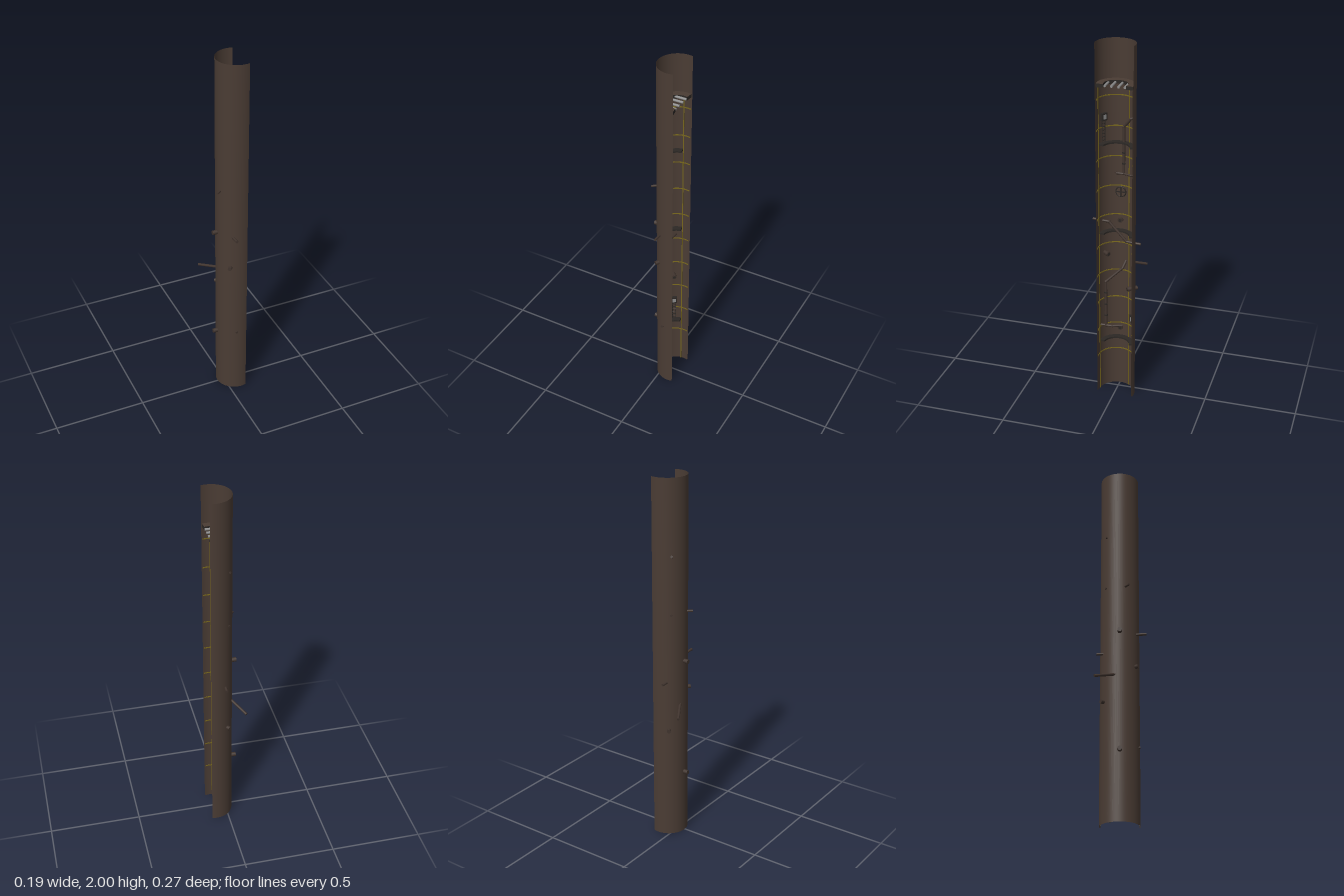
import * as THREE from 'three';
import { toCreasedNormals } from 'three/addons/utils/BufferGeometryUtils.js';

const CX = 0.0655, CZ = -0.006;     // axis of the shaft
const WALL = 0.1035, LINER = 0.0985; // radii of the thin wall and its lining
const END = THREE.MathUtils.degToRad(106);

const mat = (name, color, side = THREE.FrontSide) => {
  const m = new THREE.MeshStandardMaterial({ color, side });
  m.name = name;
  return m;
};

// Point at radius r and angle a around the shaft; a = 0 is the middle of the wall
const polar = (r, a, y) => new THREE.Vector3(CX - r * Math.cos(a), y, CZ + r * Math.sin(a));
const V = (x, y, z) => new THREE.Vector3(x, y, z);

export function createModel() {
  const group = new THREE.Group();
  const brick = mat('brownWall', 0x4a3c34, THREE.DoubleSide);
  const pipeMat = mat('pipeBrown', 0x40342e);
  const iron = mat('darkIron', 0x2c2825);
  const steel = mat('greySteel', 0x8c8c8c);
  const mustard = mat('mustardSeam', 0x76661c);

  const add = (name, geo, material, parent = group) => {
    const m = new THREE.Mesh(geo, material);
    m.name = name;
    parent.add(m);
    return m;
  };

  // Upright curved band between two radii and two angles; k lengthens the inner arc
  const band = (name, rIn, rOut, y, h, a0, a1, material, k = 1) => {
    const n = Math.max(2, Math.ceil((a1 - a0) * 14));
    const pts = [];
    for (let i = 0; i <= n; i++) pts.push(polar(rOut, a0 + (a1 - a0) * i / n, 0));
    for (let i = n; i >= 0; i--) pts.push(polar(rIn, k * (a0 + (a1 - a0) * i / n), 0));
    const shape = new THREE.Shape(pts.map(p => new THREE.Vector2(p.x, -p.z)));
    const geo = new THREE.ExtrudeGeometry(shape, { depth: h, bevelEnabled: false });
    geo.rotateX(-Math.PI / 2).translate(0, y, 0);
    return add(name, toCreasedNormals(geo, 0.6), material);
  };

  // Round bar between two points
  const rod = (name, a, b, r, material, parent) => {
    const d = b.clone().sub(a);
    const m = add(name, new THREE.CylinderGeometry(r, r, d.length(), 14), material, parent);
    m.position.copy(a).add(b).multiplyScalar(0.5);
    m.quaternion.setFromUnitVectors(V(0, 1, 0), d.normalize());
    return m;
  };

  // Pipe run with rounded elbows
  const pipe = (name, pts, r) => {
    const g = new THREE.Group();
    g.name = name;
    group.add(g);
    pts.forEach((p, i) => {
      if (i) rod('pipeRun', pts[i - 1], p, r, pipeMat, g);
      if (i && i < pts.length - 1) {
        add('elbow', new THREE.SphereGeometry(r * 1.15, 12, 8), pipeMat, g).position.copy(p);
      }
    });
  };

  // Thin shaft wall, open towards +x, lined below the grate
  for (const [name, r, h] of [['shaftWall', WALL, 2], ['wallLining', LINER, 1.78]]) {
    add(name, new THREE.CylinderGeometry(r, r, h, 56, 1, true,
      Math.PI * 1.5 - END, END * 2), brick).position.set(CX, h / 2, CZ);
  }

  // Seams round the inside and the upright seams
  const seamIn = LINER - 0.003, seamOut = LINER - 0.0005, seamEnd = END - 0.03;
  for (let i = 0; i < 10; i++) {
    band('ringSeam', seamIn, seamOut, 0.225 + i * 0.1645, 0.0055, -seamEnd, seamEnd, mustard);
  }
  for (const a of [-1.42, -0.51, 1.42]) {
    band('uprightSeam', seamIn, seamOut, 0, 1.78, a - 0.025, a + 0.025, mustard);
  }

  // Narrow ledges and the wide platform ring that carries the grate
  for (const y of [0.304, 0.956, 1.454]) {
    band('ledge', 0.07, LINER - 0.0005, y, 0.009, -1.4, 1.4, iron);
  }
  const ringEnd = END - 0.017;
  band('platformRing', 0.063, 0.098, 1.776, 0.019, -ringEnd, ringEnd, [brick, iron], 1.042);
  for (const z of [-0.059, -0.026, 0.011, 0.045]) {
    rod('grateBar', V(0.01 + Math.abs(z + 0.007) * 0.25, 1.785, z), V(0.086, 1.785, z), 0.0065, steel);
  }

  // Outlet stubs through the wall, with a flange and a dark mouth inside
  const stub = (a, y, r, inner, reach) => {
    rod('outletStub', polar(inner, a, y), polar(reach, a, y), r, pipeMat);
    rod('outletFlange', polar(inner + 0.002, a, y), polar(inner + 0.012, a, y), r * 1.25, pipeMat);
    rod('outletMouth', polar(inner - 0.0008, a, y), polar(inner + 0.001, a, y), r * 0.75, iron);
  };
  stub(0, 1.02, 0.012, 0.078, 0.1285);
  stub(0, 0.367, 0.012, 0.078, 0.1285);
  stub(0.93, 0.833, 0.011, 0.063, 0.122);
  stub(-0.93, 0.637, 0.011, 0.063, 0.122);

  // Round drain cover with a cross
  const drain = new THREE.Group();
  drain.name = 'drainCover';
  drain.position.copy(polar(LINER - 0.006, 0, 1.18));
  drain.rotation.y = Math.PI / 2;
  group.add(drain);
  add('drainRim', new THREE.TorusGeometry(0.027, 0.0035, 8, 28), iron, drain);
  add('drainPlate', new THREE.CylinderGeometry(0.026, 0.026, 0.004, 28), brick, drain).rotation.x = Math.PI / 2;
  for (const s of [[0.052, 0.006, 0.01], [0.006, 0.052, 0.01]]) {
    add('drainBar', new THREE.BoxGeometry(...s), iron, drain);
  }

  // Pipe crossing the shaft from one side to the other
  pipe('crossingPipe', [V(0.015, 1.027, 0.135), V(0.015, 1.02, 0.047),
    V(0.015, 0.915, -0.05), V(0.015, 0.91, -0.128)], 0.007);

  // Lower pipe, leaving through the back
  pipe('lowerPipe', [V(0.035, 0.4, 0.1), V(0.033, 0.4, 0.06), V(0.033, 0.67, 0.06),
    V(0.005, 0.75, -0.025), V(-0.03, 0.777, -0.034), V(-0.09, 0.745, -0.135)], 0.0072);
  pipe('lowerBranch', [V(0.034, 0.4, 0.06), V(0.034, 0.4, 0.025), V(0.012, 0.4, -0.028)], 0.0068);
  for (const y of [0.46, 0.53, 0.6]) {
    rod('pipeClamp', V(0.033, y, 0.06), V(0.033, y + 0.008, 0.06), 0.0095, iron);
  }

  // Upper pipe with a level run through the wall
  pipe('upperPipe', [polar(0.107, -0.77, 1.6), V(-0.004, 1.595, -0.066), V(-0.018, 1.545, -0.025),
    V(-0.018, 1.29, -0.025)], 0.0068);
  pipe('levelPipe', [polar(0.107, -0.8, 1.287), V(-0.002, 1.287, -0.068), V(-0.018, 1.287, -0.025),
    V(-0.016, 1.287, 0.012), V(-0.056, 1.287, 0.044)], 0.0062);
  for (const y of [1.34, 1.4]) {
    rod('pipeClamp', V(-0.018, y, -0.025), V(-0.018, y + 0.008, -0.025), 0.009, iron);
  }

  // Wall boxes with a rung strip down to the ledge below
  for (const [a, y, bottom] of [[1.0, 1.6, 1.463], [-0.98, 0.45, 0.313]]) {
    const box = add('wallBox', new THREE.BoxGeometry(0.014, 0.04, 0.032), iron);
    box.position.copy(polar(LINER - 0.008, a, y));
    box.rotation.y = a;
    const face = add('boxFace', new THREE.BoxGeometry(0.002, 0.024, 0.02), steel);
    face.position.copy(polar(LINER - 0.0152, a, y));
    face.rotation.y = a;
    for (const d of [-0.1, 0.1]) {
      rod('railStrip', polar(LINER - 0.004, a + d, bottom), polar(LINER - 0.004, a + d, y), 0.0022, iron);
    }
    for (let h = bottom + 0.012; h < y - 0.02; h += 0.018) {
      rod('rung', polar(LINER - 0.005, a - 0.1, h), polar(LINER - 0.005, a + 0.1, h), 0.0022, iron);
    }
  }

  return group;
}
